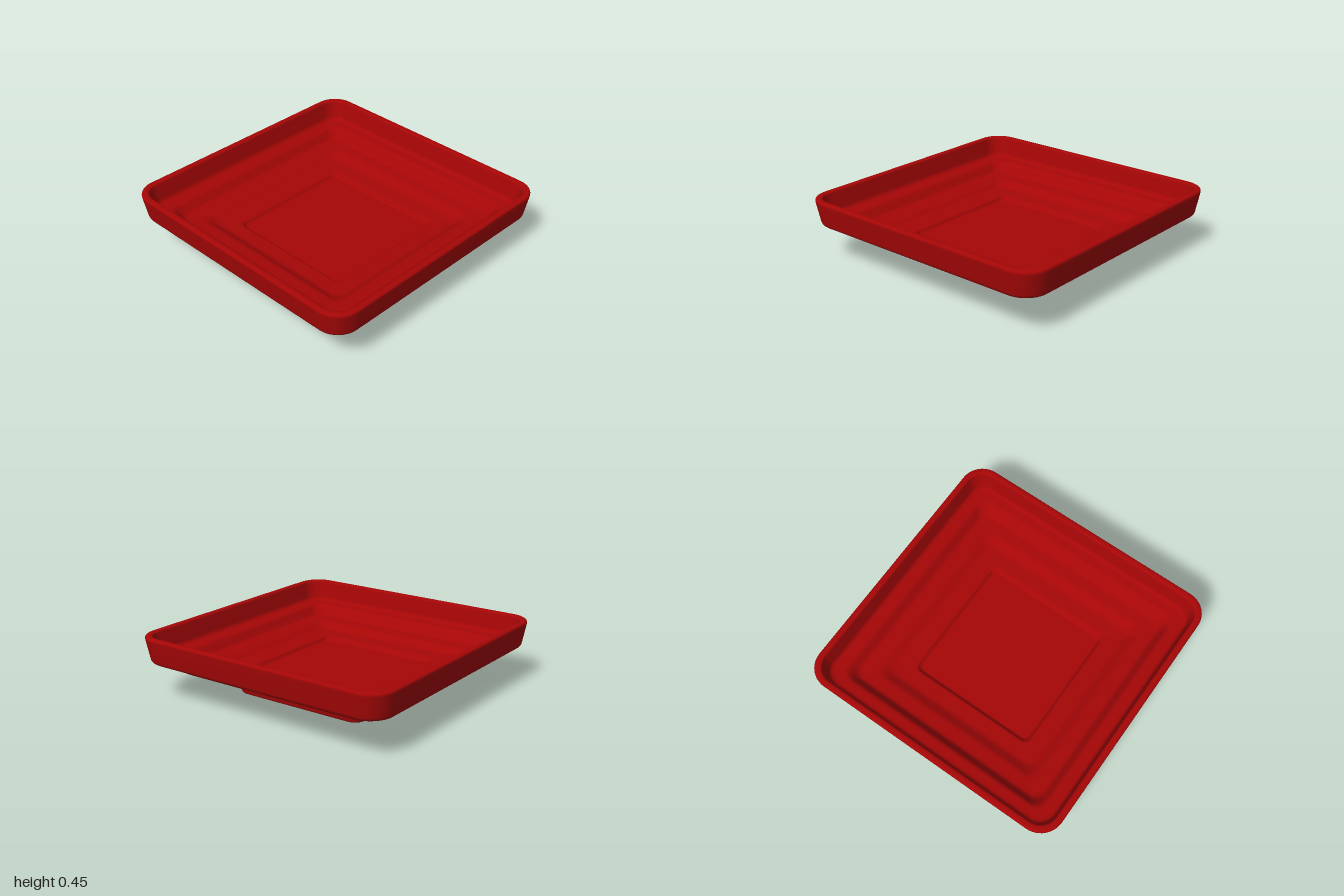
import * as THREE from 'three';

const CORNER_STEPS = 12;

// Soften the bends of a profile whose points are [half width, height, corner radius, bend size]
function fillet(points, steps = 4) {
  const out = [points[0]];
  for (let i = 1; i < points.length - 1; i++) {
    const p = points[i];
    const toward = (q) => {
      const d = Math.hypot(q[0] - p[0], q[1] - p[1]);
      const t = Math.min(p[3] / d, 0.45);
      return p.map((v, k) => v + (q[k] - v) * t);
    };
    const a = toward(points[i - 1]), b = toward(points[i + 1]);
    for (let s = 0; s <= steps; s++) {
      const t = s / steps;
      out.push(p.map((v, k) => (1 - t) ** 2 * a[k] + 2 * t * (1 - t) * v + t * t * b[k]));
    }
  }
  out.push(points[points.length - 1]);
  return out;
}

// Sweep a profile around rounded-square rings (radius equal to half width gives a circle)
function squareLathe(profile) {
  const positions = [], index = [];
  const n = 4 * (CORNER_STEPS + 1);
  for (const [half, y, r] of profile) {
    for (let c = 0; c < 4; c++) {
      const mid = Math.PI / 4 + c * Math.PI / 2;
      const cx = Math.sign(Math.cos(mid)) * (half - r);
      const cz = Math.sign(Math.sin(mid)) * (half - r);
      for (let s = 0; s <= CORNER_STEPS; s++) {
        const angle = (c + s / CORNER_STEPS) * Math.PI / 2;
        positions.push(cx + r * Math.cos(angle), y, cz + r * Math.sin(angle));
      }
    }
  }
  for (let i = 0; i < profile.length - 1; i++) {
    for (let j = 0; j < n; j++) {
      const k = (j + 1) % n;
      const a = i * n + j, b = i * n + k, c = a + n, d = b + n;
      index.push(a, c, b, b, c, d);
    }
  }
  const geometry = new THREE.BufferGeometry();
  geometry.setAttribute('position', new THREE.Float32BufferAttribute(positions, 3));
  geometry.setIndex(index);
  geometry.computeVertexNormals();
  return geometry;
}

export function createModel() {
  const group = new THREE.Group();
  group.name = 'squareTray';
  const red = new THREE.MeshStandardMaterial({ color: 0xa60606 });

  // Underside: round recess in the foot
  const underside = [
    [0, 0.05, 0, 0],
    [0.375, 0.05, 0.375, 0.003],
    [0.375, 0, 0.375, 0.003],
  ];
  // Outside: foot, two stepped tiers, flared wall
  const outside = [
    [0.513, 0, 0.07, 0.018],
    [0.525, 0.07, 0.08, 0.014],
    [0.645, 0.105, 0.1, 0.014],
    [0.705, 0.17, 0.12, 0.014],
    [0.81, 0.178, 0.12, 0.014],
    [0.868, 0.254, 0.14, 0.014],
    [0.972, 0.255, 0.16, 0.03],
    [1.003, 0.45, 0.17, 0.025],
  ];
  // Inside: softer steps down to a flat ledge and a shallow sunken floor
  const inside = [
    [0.953, 0.45, 0.13, 0.015],
    [0.922, 0.3, 0.12, 0.03],
    [0.83, 0.295, 0.09, 0.022],
    [0.775, 0.225, 0.08, 0.022],
    [0.67, 0.218, 0.08, 0.022],
    [0.605, 0.178, 0.07, 0.022],
    [0.48, 0.173, 0.05, 0.014],
    [0.462, 0.143, 0.04, 0.014],
    [0, 0.143, 0, 0],
  ];

  const profile = fillet([...underside, ...outside, ...inside]);
  const tray = new THREE.Mesh(squareLathe(profile), red);
  tray.name = 'trayBody';
  group.add(tray);
  return group;
}
